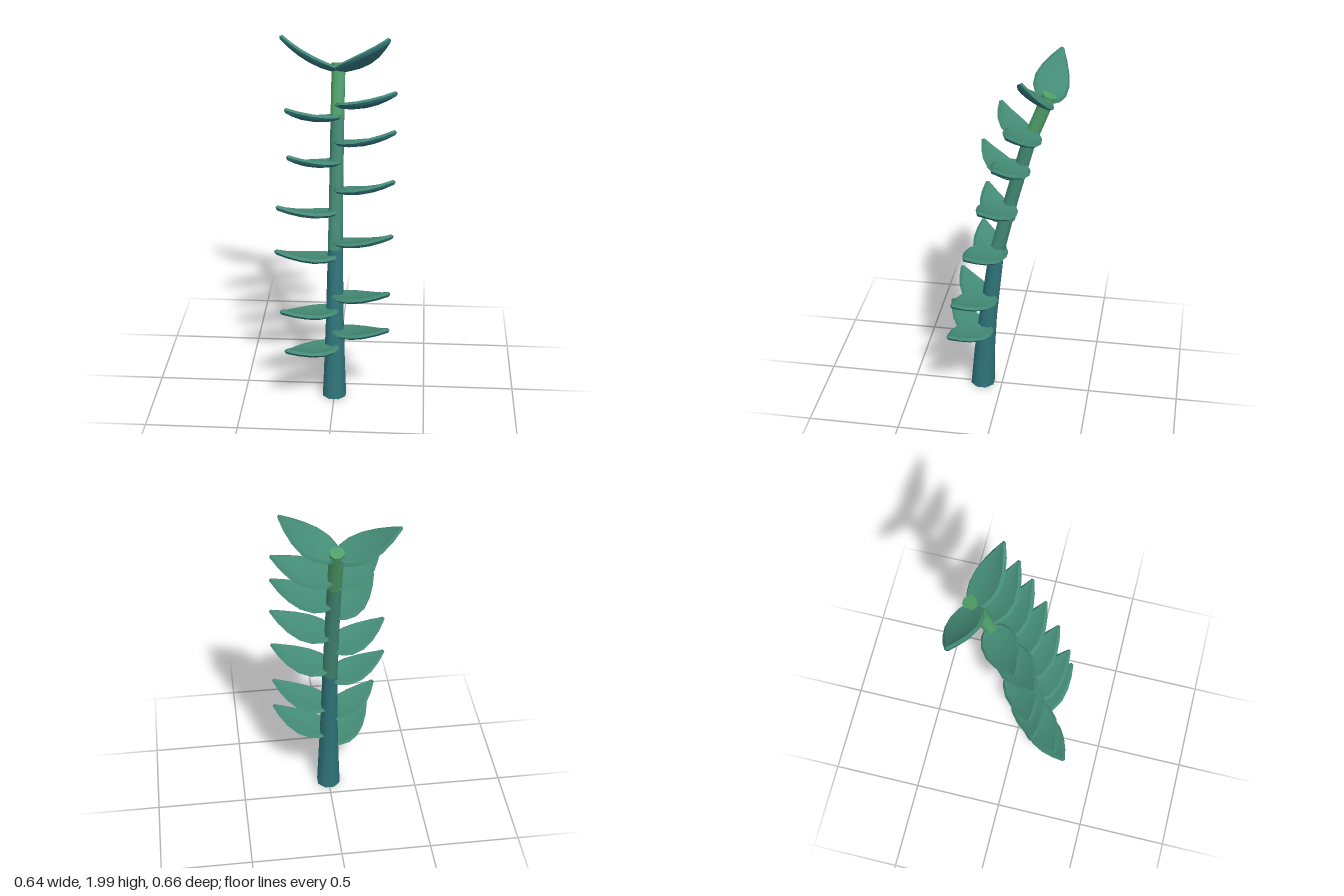
import * as THREE from 'three';
import { mergeVertices } from 'three/addons/utils/BufferGeometryUtils.js';

const teal = new THREE.MeshStandardMaterial({ name: 'deep teal', color: 0x2f757b });
const green = new THREE.MeshStandardMaterial({ name: 'leaf green', color: 0x438a74 });
const bright = new THREE.MeshStandardMaterial({ name: 'fresh green', color: 0x4f9f68 });

// Smooth surface through rows of points; faces look along (row step) x (column step)
function grid(rows) {
  const cols = rows[0].length, pos = [], idx = [];
  rows.forEach(r => r.forEach(p => pos.push(p.x, p.y, p.z)));
  for (let i = 0; i < rows.length - 1; i++) {
    for (let j = 0; j < cols - 1; j++) {
      const a = i * cols + j, b = a + cols;
      idx.push(a, b, a + 1, b, b + 1, a + 1);
    }
  }
  let g = new THREE.BufferGeometry();
  g.setAttribute('position', new THREE.Float32BufferAttribute(pos, 3));
  g.setIndex(idx);
  g = mergeVertices(g, 1e-5);
  g.computeVertexNormals();
  return g;
}

function add(parent, name, rows, material) {
  const mesh = new THREE.Mesh(grid(rows), material);
  mesh.name = name;
  parent.add(mesh);
}

// Stem stations: height, depth, radius
const STEM = [
  [0, 0.11, 0.069], [0.22, 0.1, 0.06], [0.45, 0.08, 0.052], [0.86, 0.032, 0.043],
  [1.2, -0.048, 0.04], [1.55, -0.14, 0.039], [1.823, -0.243, 0.039],
];

function stemPoint(y) {
  let k = 0;
  while (k < STEM.length - 2 && y > STEM[k + 1][0]) k++;
  const [y0, z0] = STEM[k], [y1, z1] = STEM[k + 1];
  return new THREE.Vector3(0, y, z0 + (z1 - z0) * (y - y0) / (y1 - y0));
}

function stemDirection(y) {
  const lo = Math.max(0, y - 0.12), hi = Math.min(1.823, y + 0.12);
  return stemPoint(hi).sub(stemPoint(lo)).normalize();
}

function makeStem() {
  const stem = new THREE.Group(), sides = 8;
  stem.name = 'stem';
  const rings = STEM.map(([y, z, r], k) => {
    const t = k ? stemDirection(y) : new THREE.Vector3(0, 1, 0);
    const across = new THREE.Vector3(1, 0, 0);
    const forward = across.clone().cross(t);
    return Array.from({ length: sides + 1 }, (_, j) => {
      const a = ((j % sides) + 0.5) / sides * Math.PI * 2;
      return new THREE.Vector3(0, y, z)
        .addScaledVector(across, r * Math.cos(a)).addScaledVector(forward, r * Math.sin(a));
    });
  });
  const centre = k => rings[k].map(() => new THREE.Vector3(0, STEM[k][0], STEM[k][1]));
  const last = STEM.length - 1;
  add(stem, 'lowerStem', rings.slice(0, 4), teal);
  add(stem, 'middleStem', rings.slice(3, 6), green);
  add(stem, 'upperStem', rings.slice(5), bright);
  add(stem, 'stemBottom', [centre(0), rings[0]], teal);
  add(stem, 'stemTop', [rings[last], centre(last)], bright);
  return stem;
}

// Leaf outline: fraction of length, half width
const OUTLINE = [
  [0, 0.04], [0.07, 0.068], [0.22, 0.092], [0.42, 0.095], [0.63, 0.076], [0.82, 0.046], [1, 0.008],
];

// A thick cupped leaf running from the stem at baseY out to its tip
function makeLeaf(name, baseY, tip) {
  const leaf = new THREE.Group();
  leaf.name = name;
  const base = stemPoint(baseY);
  const along = new THREE.Vector3(...tip).sub(base);
  const side = stemDirection(baseY).cross(along).normalize();
  const up = along.clone().cross(side).normalize();

  const point = (i, v, inset, h) => {
    const u = 0.5 + (OUTLINE[i][0] - 0.5) * (inset ? 0.95 : 1);
    const w = Math.max(0.004, OUTLINE[i][1] - inset);
    const sag = 0.088 * u * (1 - u) + 0.012 * (1 - v * v) * w / 0.095;
    return base.clone().addScaledVector(along, u)
      .addScaledVector(side, v * w).addScaledVector(up, h - sag);
  };
  const surface = (vs, inset, h) => OUTLINE.map((_, i) => vs.map(v => point(i, v, inset, h)));
  const loop = (inset, h) => {
    const pts = OUTLINE.map((_, i) => point(i, -1, inset, h));
    for (let i = OUTLINE.length - 1; i >= 0; i--) pts.push(point(i, 1, inset, h));
    pts.push(pts[0].clone());
    return pts;
  };

  const v = [-1, -0.5, 0, 0.5, 1], inset = 0.013;
  add(leaf, 'leafTop', surface(v, inset, 0.012), green);
  add(leaf, 'leafUpperRim', [loop(inset, 0.012), loop(0, -0.002)], green);
  add(leaf, 'leafLowerRim', [loop(0, -0.002), loop(inset, -0.014)], teal);
  add(leaf, 'leafUnderside', surface(v.slice().reverse(), inset, -0.014), teal);
  return leaf;
}

// Leaves: height on the stem, then tip position
const LEFT = [
  [0.4, [0.302, 0.49, 0.25]], [0.605, [0.302, 0.695, 0.226]], [0.905, [0.312, 1.0, 0.153]],
  [1.18, [0.317, 1.28, 0.075]], [1.425, [0.317, 1.53, 0]], [1.615, [0.317, 1.72, -0.072]],
  [1.79, [0.275, 1.99, -0.135]],
];
const RIGHT = [
  [0.315, [-0.25, 0.385, 0.33]], [0.525, [-0.28, 0.595, 0.277]], [0.825, [-0.317, 0.895, 0.157]],
  [1.065, [-0.308, 1.14, 0.132]], [1.33, [-0.244, 1.43, 0.145]], [1.56, [-0.262, 1.655, 0.05]],
  [1.79, [-0.315, 1.96, -0.27]],
];

export function createModel() {
  const model = new THREE.Group();
  model.name = 'plant';
  model.add(makeStem());
  LEFT.forEach(([y, tip], i) => model.add(makeLeaf('leftLeaf' + (i + 1), y, tip)));
  RIGHT.forEach(([y, tip], i) => model.add(makeLeaf('rightLeaf' + (i + 1), y, tip)));
  return model;
}
